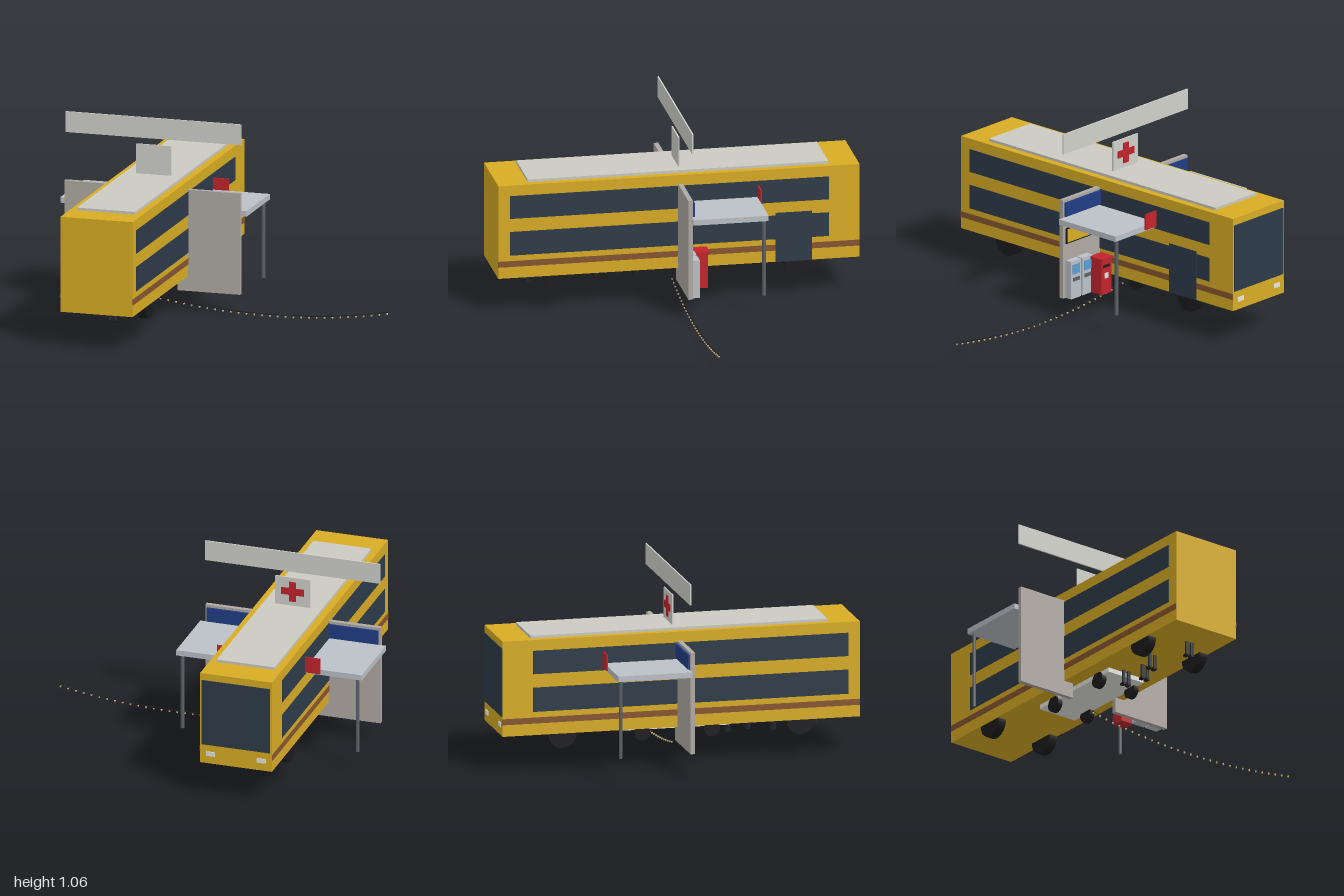
import * as THREE from 'three';

const mat = (color) => new THREE.MeshStandardMaterial({ color });
const M = {
  yellow: mat(0xd8ac24), glass: mat(0x2d3b49), stripe: mat(0x87552f), roof: mat(0xcbcbc2),
  wall: mat(0xb0aaa3), canopy: mat(0xbcc1c7), sign: mat(0xd0d0cb), blue: mat(0x223d86),
  red: mat(0xc2242c), dark: mat(0x1c1c1e), post: mat(0x5c6066), white: mat(0xe4e4e0),
  screen: mat(0x5aa0d8), trousers: mat(0x232a36), bulb: mat(0xc9b277),
};

export function createModel() {
  const root = new THREE.Group();

  const add = (name, geometry, material, parent = root) => {
    const mesh = new THREE.Mesh(geometry, material);
    mesh.name = name;
    parent.add(mesh);
    return mesh;
  };
  // Box given by its extents on each axis
  const box = (name, [x0, x1], [y0, y1], [z0, z1], material, parent) => {
    const mesh = add(name, new THREE.BoxGeometry(x1 - x0, y1 - y0, z1 - z0), material, parent);
    mesh.position.set((x0 + x1) / 2, (y0 + y1) / 2, (z0 + z1) / 2);
    return mesh;
  };
  const group = (name) => {
    const g = new THREE.Group();
    g.name = name;
    root.add(g);
    return g;
  };
  const wheel = (name, x, y, z, radius, width, parent) => {
    const geometry = new THREE.CylinderGeometry(radius, radius, width, 24).rotateZ(Math.PI / 2);
    add(name, geometry, M.dark, parent).position.set(x, y, z);
  };

  const CX = -0.405; // centre line of bus and building

  // Bus
  const bus = group('bus');
  box('busBody', [-0.61, -0.2], [0.2, 0.73], [-0.995, 1], M.yellow, bus);
  box('roofPanel', [-0.57, -0.24], [0.73, 0.745], [-0.83, 0.83], M.roof, bus);
  for (const s of [-1, 1]) {
    const face = CX + s * 0.205;
    const skin = [face - 0.003, face + 0.003];
    box('upperWindows', skin, [0.54, 0.67], [-0.825, 0.935], M.glass, bus);
    box('lowerWindows', skin, [0.33, 0.465], [-0.825, 0.935], M.glass, bus);
    box('sideStripe', skin, [0.265, 0.298], [-0.995, 1], M.stripe, bus);
    for (const z of [-0.66, 0.67]) wheel('busWheel', CX + s * 0.175, 0.197, z, 0.079, 0.05, bus);
    const hx = CX + s * 0.145;
    box('headlight', [hx - 0.025, hx + 0.025], [0.245, 0.27], [-1, -0.993], M.white, bus);
  }
  box('door', [-0.204, -0.195], [0.2, 0.48], [-0.73, -0.53], M.glass, bus);
  box('windscreen', [-0.6, -0.21], [0.31, 0.69], [-1, -0.99], M.glass, bus);

  // Low cart beneath the bus
  const cart = group('cart');
  box('cartBed', [-0.525, -0.285], [0.175, 0.215], [-0.32, 0.29], M.white, cart);
  for (const x of [-0.515, -0.295])
    for (const z of [-0.195, 0.195]) wheel('cartWheel', x, 0.16, z, 0.045, 0.03, cart);

  // Legs of the people standing in line
  const people = group('standingPeople');
  [[0.81, 0.03], [0.56, -0.03], [0.43, 0.02], [0.31, -0.015]].forEach(([z, dx]) => {
    for (const s of [-1, 1]) {
      const x = CX + dx + s * 0.016;
      const leg = add('leg', new THREE.CylinderGeometry(0.01, 0.01, 0.12, 10), M.trousers, people);
      leg.position.set(x, 0.185, z);
      box('shoe', [x - 0.01, x + 0.01], [0.115, 0.127], [z - 0.02, z + 0.01], M.dark, people);
    }
  });

  // Building wall with a central doorway
  const wallShape = new THREE.Shape([
    [-0.905, 0.115], [-0.55, 0.115], [-0.55, 0.45], [-0.26, 0.45], [-0.26, 0.115],
    [0.095, 0.115], [0.095, 0.68], [-0.905, 0.68],
  ].map(([x, y]) => new THREE.Vector2(x, y)));
  const wallGeometry = new THREE.ExtrudeGeometry(wallShape, { depth: 0.026, bevelEnabled: false });
  add('wall', wallGeometry, M.wall).position.z = -0.019;
  box('blueBand', [-0.895, 0.085], [0.585, 0.665], [-0.03, -0.018], M.blue);

  // Canopy on two posts
  box('canopy', [-0.935, 0.125], [0.548, 0.579], [-0.43, -0.015], M.canopy);
  for (const x of [-0.905, 0.095]) {
    const post = add('canopyPost', new THREE.CylinderGeometry(0.01, 0.01, 0.435, 16), M.post);
    post.position.set(x, 0.3325, -0.41);
  }
  box('canopyRedSign', [-0.7, -0.11], [0.555, 0.645], [-0.438, -0.43], M.red);

  // Roof signs
  box('longSignBoard', [-0.905, 0.095], [0.945, 1.06], [-0.022, -0.014], M.sign);
  box('crossPanel', [-0.505, -0.305], [0.745, 0.91], [-0.022, -0.014], M.sign);
  box('crossUpright', [CX - 0.02, CX + 0.02], [0.77, 0.885], [-0.027, -0.02], M.red);
  box('crossBar', [CX - 0.065, CX + 0.065], [0.808, 0.848], [-0.0265, -0.02], M.red);

  // Cash machines under a yellow panel
  const machines = group('cashMachines');
  box('panelFrame', [-0.185, 0.075], [0.425, 0.515], [-0.024, -0.018], M.dark, machines);
  box('yellowPanel', [-0.175, 0.065], [0.433, 0.507], [-0.028, -0.018], M.yellow, machines);
  for (const x of [-0.055, 0.035]) {
    box('machineBody', [x - 0.04, x + 0.04], [0.115, 0.33], [-0.06, -0.018], M.canopy, machines);
    box('screen', [x - 0.028, x + 0.028], [0.255, 0.31], [-0.063, -0.055], M.screen, machines);
    box('keypad', [x - 0.025, x + 0.025], [0.215, 0.235], [-0.064, -0.055], M.post, machines);
  }

  // Post box
  const postBox = group('postBox');
  box('postBoxBody', [-0.165, -0.085], [0.115, 0.31], [-0.135, -0.06], M.red, postBox);
  box('postBoxCap', [-0.172, -0.078], [0.308, 0.323], [-0.145, -0.055], M.red, postBox);
  box('postBoxSlot', [-0.152, -0.098], [0.268, 0.282], [-0.138, -0.13], M.dark, postBox);
  box('postBoxLabel', [-0.14, -0.11], [0.205, 0.235], [-0.138, -0.13], M.white, postBox);

  // Sagging string of small lights
  const lights = group('lightString');
  const sag = (t) => new THREE.Vector3(-0.405 + 1.335 * t, 0.078 - 0.24 * t * (1 - t), 0);
  const points = Array.from({ length: 31 }, (_, i) => sag(i / 30));
  const cord = new THREE.TubeGeometry(new THREE.CatmullRomCurve3(points), 60, 0.0015, 5);
  add('cord', cord, M.dark, lights);
  const bulbGeometry = new THREE.SphereGeometry(0.0055, 10, 8).scale(1, 1.3, 1);
  for (const p of points) {
    add('bulb', bulbGeometry, M.bulb, lights).position.set(p.x, p.y - 0.009, 0);
    const cap = add('bulbCap', new THREE.CylinderGeometry(0.004, 0.004, 0.007, 8), M.dark, lights);
    cap.position.set(p.x, p.y - 0.002, 0);
  }

  return root;
}
